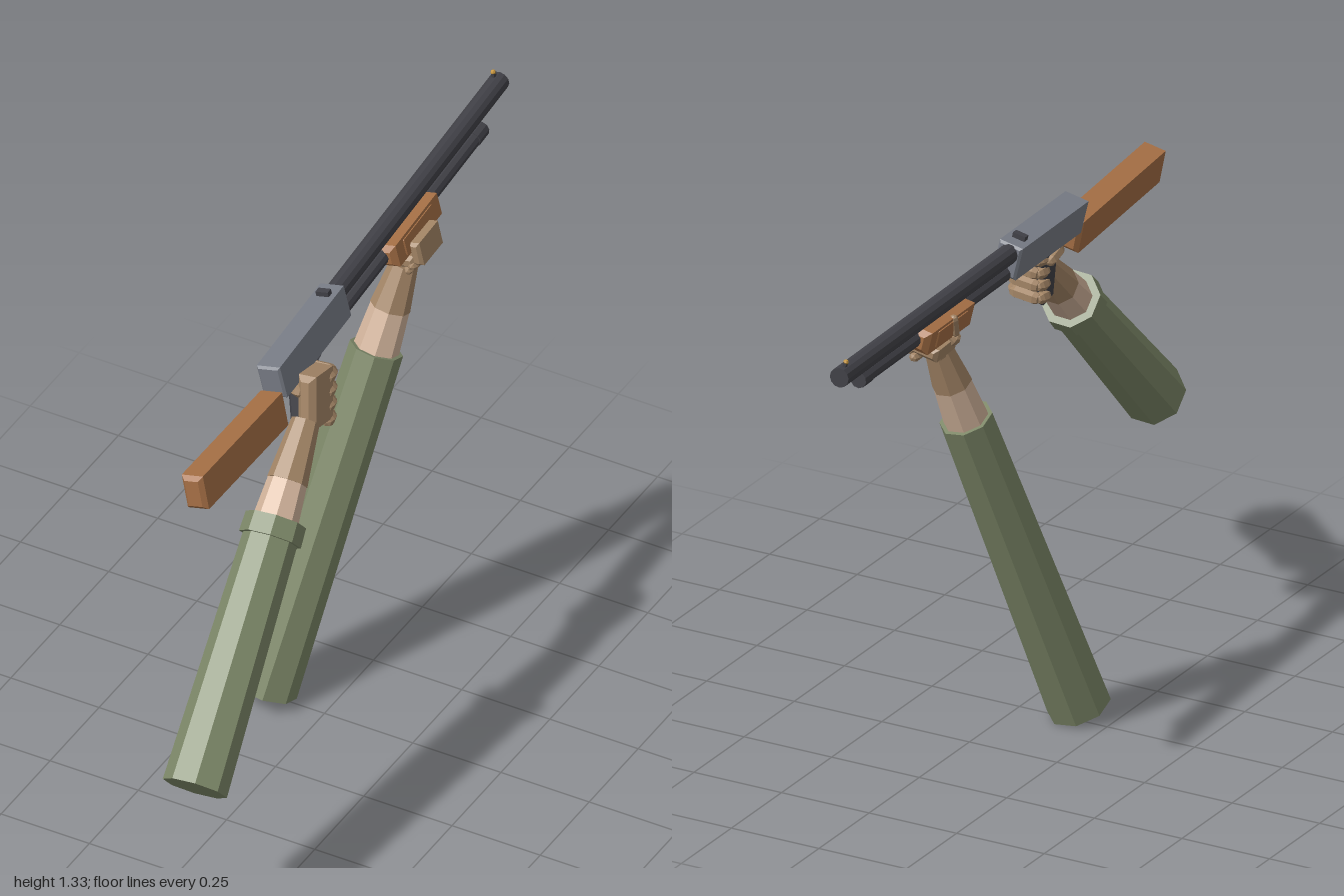
import * as THREE from 'three';

const mat = (name, color) => {
  const m = new THREE.MeshStandardMaterial({ color, flatShading: true });
  m.name = name;
  return m;
};

export function createModel() {
  const sleeve = mat('sleeve green', 0x7d8868);
  const skin = mat('skin', 0xd2b49c);
  const glove = mat('glove tan', 0xa38566);
  const steel = mat('receiver steel', 0x787c86);
  const dark = mat('dark metal', 0x414147);
  const wood = mat('wood', 0xa56f45);
  const brass = mat('brass', 0xc8963c);

  const V = (p) => new THREE.Vector3(...p);
  const add = (parent, name, geo, material, pos = [0, 0, 0], rot = [0, 0, 0]) => {
    const m = new THREE.Mesh(geo, material);
    m.name = name;
    m.position.set(...pos);
    m.rotation.set(...rot);
    parent.add(m);
    return m;
  };

  // Box with chamfered edges
  const chamferBox = (w, h, d, b) => {
    const x = w / 2 - b, y = h / 2 - b;
    const s = new THREE.Shape([[-x, -y], [x, -y], [x, y], [-x, y]].map(([a, c]) => new THREE.Vector2(a, c)));
    const g = new THREE.ExtrudeGeometry(s, { depth: d - 2 * b, bevelThickness: b, bevelSize: b, bevelSegments: 1 });
    return g.translate(0, 0, b - d / 2);
  };

  // Tapered prism from point a to point b
  const limb = (parent, name, a, b, ra, rb, material, sides = 8) => {
    const d = V(b).sub(V(a));
    const geo = new THREE.CylinderGeometry(rb, ra, d.length(), sides).rotateY(Math.PI / sides);
    const m = add(parent, name, geo, material);
    m.position.copy(V(a)).addScaledVector(d, 0.5);
    m.quaternion.setFromUnitVectors(new THREE.Vector3(0, 1, 0), d.normalize());
    return m;
  };

  // Finger with chamfered ends, from a to b
  const finger = (parent, name, a, b, r) => {
    const d = V(b).sub(V(a));
    const m = add(parent, name, new THREE.CapsuleGeometry(r, Math.max(d.length() - r, 0.005), 2, 6), glove);
    m.position.copy(V(a)).addScaledVector(d, 0.5);
    m.quaternion.setFromUnitVectors(new THREE.Vector3(0, 1, 0), d.normalize());
  };

  const model = new THREE.Group();
  model.name = 'armsWithGun';

  // Gun, pointing along -z, slightly raised and rolled
  const gun = new THREE.Group();
  gun.name = 'gun';
  gun.position.set(0.003, 1.235, 0.11);
  gun.rotation.set(0.033, 0.05, 0.22, 'YXZ');
  model.add(gun);

  add(gun, 'receiver', chamferBox(0.066, 0.09, 0.37, 0.006), steel);
  limb(gun, 'barrel', [0, 0.018, -0.18], [0, 0.018, -1.11], 0.026, 0.026, dark, 12);
  limb(gun, 'magazineTube', [0, -0.038, -0.18], [0, -0.038, -0.975], 0.02, 0.02, dark, 10);
  limb(gun, 'magazineCap', [0, -0.038, -0.93], [0, -0.038, -0.98], 0.022, 0.022, dark, 10);
  add(gun, 'rearSight', new THREE.BoxGeometry(0.035, 0.014, 0.018), dark, [0, 0.051, -0.135]);
  add(gun, 'frontSightPost', new THREE.BoxGeometry(0.008, 0.014, 0.012), dark, [0, 0.047, -1.09]);
  add(gun, 'frontSightBead', new THREE.SphereGeometry(0.007, 6, 4), brass, [0, 0.056, -1.09]);

  // Wooden furniture
  add(gun, 'foreEnd', chamferBox(0.08, 0.062, 0.26, 0.014), wood, [0, -0.04, -0.547]);
  add(gun, 'foreEndGrip', chamferBox(0.086, 0.046, 0.17, 0.008), wood, [0, -0.04, -0.547]);
  add(gun, 'stock', chamferBox(0.06, 0.093, 0.45, 0.011), wood, [0, -0.047, 0.41], [-0.095, 0, 0]);

  // Pistol grip, trigger and guard
  add(gun, 'pistolGrip', chamferBox(0.045, 0.18, 0.07, 0.01), dark, [0, -0.125, 0.07], [-0.3, 0, 0]);
  const guardPath = new THREE.CatmullRomCurve3(
    [[0, -0.04, -0.06], [0, -0.075, -0.055], [0, -0.082, -0.02], [0, -0.082, 0.05]].map(V));
  add(gun, 'triggerGuard', new THREE.TubeGeometry(guardPath, 10, 0.005, 5), dark);
  add(gun, 'trigger', new THREE.BoxGeometry(0.01, 0.035, 0.008), dark, [0, -0.06, 0.0], [0.25, 0, 0]);

  // Arm: sleeve, optional cuff, bare wrist and glove wrist along one line
  const arm = (name, end, top, cuff, skinLen, gloveLen) => {
    const g = new THREE.Group();
    g.name = name;
    model.add(g);
    const dir = V(top).sub(V(end)).normalize();
    const at = (t) => V(top).addScaledVector(dir, t).toArray();
    limb(g, 'sleeve', end, top, 0.083, 0.069, sleeve);
    if (cuff) limb(g, 'cuff', at(-0.04), at(0.012), 0.08, 0.078, sleeve);
    limb(g, 'wrist', at(-0.02), at(skinLen), 0.06, 0.05, skin);
    limb(g, 'gloveWrist', at(skinLen - 0.005), at(gloveLen), 0.052, 0.036, glove);
    return g;
  };

  // Right arm and hand around the pistol grip
  const right = arm('rightArm', [0.157, 0.452, 0.945], [0.1, 0.915, 0.435], true, 0.115, 0.27);
  add(right, 'palm', chamferBox(0.05, 0.14, 0.115, 0.014), glove, [0.078, 1.14, 0.185], [-0.22, 0, 0.12]);
  for (let i = 0; i < 4; i++) {
    const y = 1.175 - i * 0.038, z = 0.11 + i * 0.009, x = i * 0.004;
    finger(right, 'knuckle', [0.09 + x, y, z + 0.035], [0.082 + x, y - 0.004, z], 0.019);
    finger(right, 'fingerFront', [0.085 + x, y - 0.004, z], [0.015 + x, y - 0.012, z], 0.018);
    finger(right, 'fingertip', [0.012 + x, y - 0.012, z], [0.008 + x, y - 0.014, z + 0.035], 0.016);
  }
  finger(right, 'thumb', [0.06, 1.17, 0.225], [0.0, 1.165, 0.2], 0.018);
  finger(right, 'thumbTip', [0.0, 1.165, 0.2], [-0.005, 1.155, 0.14], 0.016);

  // Left arm and hand cradling the fore-end
  const left = arm('leftArm', [-0.158, 0.034, 0.02], [-0.03, 0.915, -0.32], false, 0.12, 0.235);
  add(left, 'palm', chamferBox(0.085, 0.035, 0.12, 0.01), glove, [0, 1.155, -0.435], [0, 0.05, 0.22]);
  add(left, 'heel', chamferBox(0.06, 0.045, 0.07, 0.012), glove, [0, 1.14, -0.42]);
  add(left, 'fingers', chamferBox(0.03, 0.065, 0.12, 0.008), glove, [0.043, 1.19, -0.44], [0, 0.05, 0.22]);
  for (let i = 0; i < 2; i++) {
    finger(left, 'foldedFinger', [0.036 - i * 0.012, 1.152 - i * 0.018, -0.38],
      [0.032 - i * 0.012, 1.152 - i * 0.018, -0.495], 0.014);
  }
  finger(left, 'thumb', [-0.03, 1.15, -0.4], [-0.056, 1.175, -0.41], 0.015);
  finger(left, 'thumbTip', [-0.052, 1.18, -0.41], [-0.058, 1.235, -0.43], 0.012);

  return model;
}
